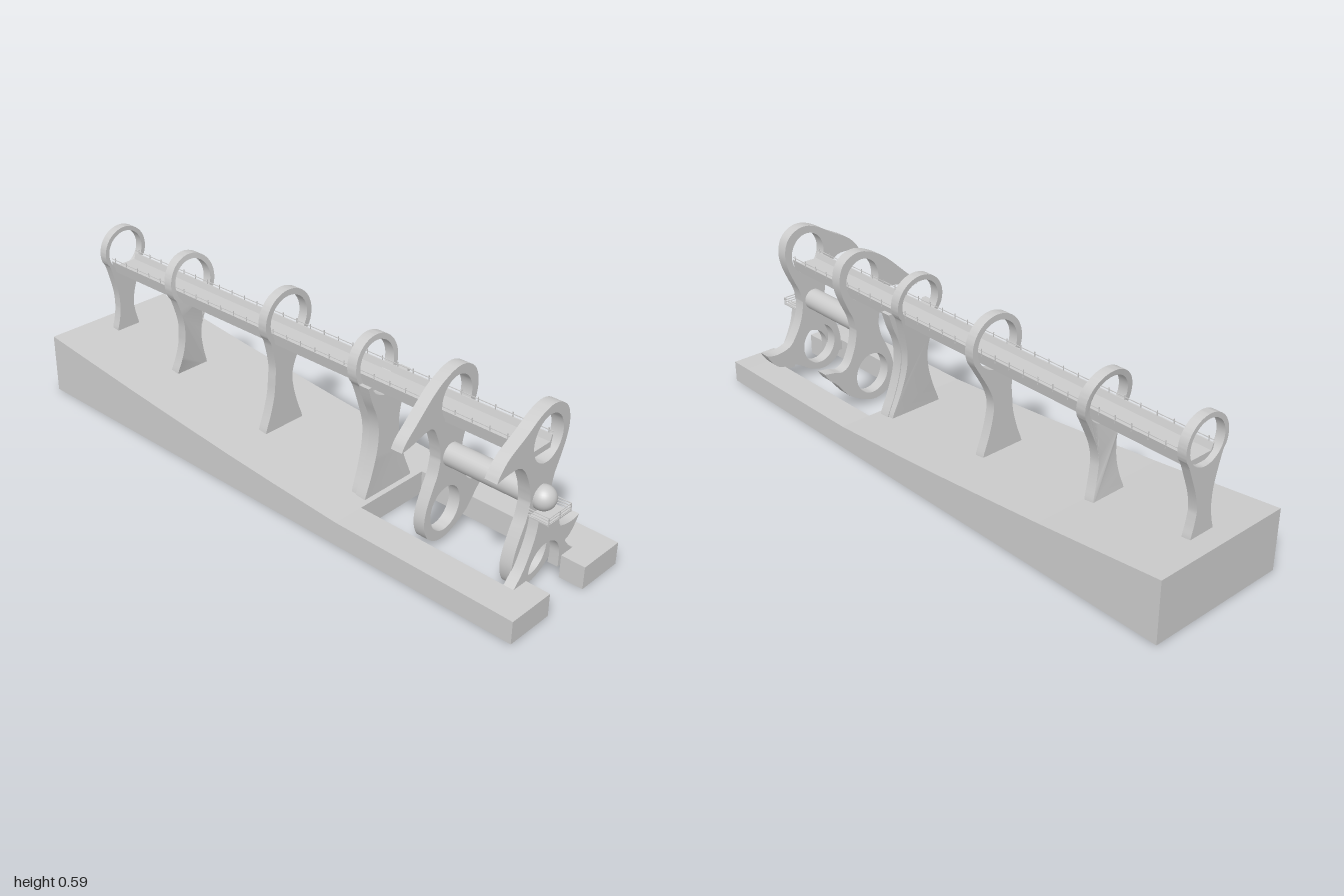
import * as THREE from 'three';
import { toCreasedNormals } from 'three/addons/utils/BufferGeometryUtils.js';

const grey = new THREE.MeshStandardMaterial({ color: 0xcccccc });
const greyDouble = new THREE.MeshStandardMaterial({ color: 0xcccccc, side: THREE.DoubleSide });

const V = (x, y) => new THREE.Vector2(x, y);
const smooth = (pts, n) => new THREE.SplineCurve(pts.map(p => V(p[0], p[1]))).getPoints(n);

function add(parent, name, geometry, material = grey) {
  const mesh = new THREE.Mesh(geometry, material);
  mesh.name = name;
  parent.add(mesh);
  return mesh;
}

function box(parent, name, x0, x1, y0, y1, z0, z1) {
  const m = add(parent, name, new THREE.BoxGeometry(x1 - x0, y1 - y0, z1 - z0));
  m.position.set((x0 + x1) / 2, (y0 + y1) / 2, (z0 + z1) / 2);
}

// Extrude a front outline between z0 and z1, optionally bending it in z by height
function slab(points, holes, z0, z1, bend) {
  const shape = new THREE.Shape(points);
  for (const [x, y, rx, ry] of holes) {
    shape.holes.push(new THREE.Path().absellipse(x, y, rx, ry, 0, Math.PI * 2, true));
  }
  const g = new THREE.ExtrudeGeometry(shape, { depth: z1 - z0, bevelEnabled: false, curveSegments: 20 });
  g.translate(0, 0, z0);
  if (bend) {
    const p = g.attributes.position;
    for (let i = 0; i < p.count; i++) p.setZ(i, p.getZ(i) + bend(p.getY(i)));
  }
  return toCreasedNormals(g, 0.6);
}

// Ground height along z
const profile = [[-1, 0.209], [-0.8, 0.186], [-0.55, 0.158], [-0.3, 0.133], [-0.1, 0.114], [0.1, 0.098],
  [0.36, 0.08], [0.92, 0.076], [1, 0.075]];
function groundAt(z) {
  for (let i = 1; i < profile.length; i++) {
    const [a, ha] = profile[i - 1], [b, hb] = profile[i];
    if (z <= b) return ha + (hb - ha) * (z - a) / (b - a);
  }
  return 0.075;
}

// Hollow ramp with an open underside and a slot that narrows at the front
function rampGeometry() {
  const pos = [];
  const quad = (a, b, c, d) => [a, b, c, a, c, d].forEach(p => pos.push(...p));
  const wall = (x0, z0, x1, z1) => quad([x0, 0, z0], [x1, 0, z1],
    [x1, groundAt(z1), z1], [x0, groundAt(z0), z0]);
  for (let i = 1; i < profile.length; i++) {
    const [z0, h0] = profile[i - 1], [z1, h1] = profile[i];
    const inner = z0 < 0.36 ? 0 : z0 < 0.92 ? 0.14 : 0.083;
    for (const s of [-1, 1]) {
      const [l, r] = s < 0 ? [-0.25, -inner] : [inner, 0.25];
      quad([l, h0, z0], [l, h1, z1], [r, h1, z1], [r, h0, z0]);
      if (s > 0) wall(0.25, z1, 0.25, z0);
      else wall(-0.25, z0, -0.25, z1);
      if (inner) {
        if (s > 0) wall(inner, z0, inner, z1);
        else wall(-inner, z1, -inner, z0);
      }
    }
  }
  wall(0.25, -1, -0.25, -1);
  wall(-0.14, 0.36, 0.14, 0.36);
  wall(-0.25, 1, -0.083, 1);
  wall(0.083, 1, 0.25, 1);
  wall(-0.083, 0.92, -0.14, 0.92);
  wall(0.14, 0.92, 0.083, 0.92);
  const g = new THREE.BufferGeometry();
  g.setAttribute('position', new THREE.Float32BufferAttribute(pos, 3));
  g.computeVertexNormals();
  return g;
}

// Half of the hooked frame: neck, round eye and pointed hook
function hookHalf([tx, ty]) {
  const back = smooth([[0.047, 0.298], [0.057, 0.345], [0.078, 0.39], [0.1, 0.445], [0.107, 0.495], [0.093, 0.543],
    [0.058, 0.571], [0.015, 0.578], [-0.035, 0.562], [-0.09, 0.528], [tx + 0.05, ty + 0.058],
    [tx + 0.015, ty + 0.025], [tx, ty]], 48);
  const belly = smooth([[tx, ty], [tx + 0.04, ty + 0.007], [-0.115, (ty + 0.445) / 2], [-0.085, 0.415], [-0.062, 0.37],
    [-0.051, 0.33], [-0.047, 0.298]], 24);
  return [...back, ...belly.slice(1, -1)];
}

// Full hooked frame: the half shape and its half-turn copy
function hookedFrame(topTip, lowTip, z0, z1) {
  const mid = 0.298;
  const low = hookHalf([-lowTip[0], 2 * mid - lowTip[1]]).map(p => V(-p.x, 2 * mid - p.y));
  return slab([...hookHalf(topTip), ...low],
    [[0.013, 0.477, 0.067, 0.074], [-0.013, 2 * mid - 0.477, 0.067, 0.074]], z0, z1);
}

// One side of a flared leg, from foot to just under the ring
function legSide(s, f) {
  const n = f.neck, h = 0.29 - f.foot;
  return [[s * f.w, f.foot - 0.04], [s * f.w, f.foot], [s * (n + (f.w - n) * 0.5), f.foot + h * 0.35],
    [s * (n + (f.w - n) * 0.12), f.foot + h * 0.7], [s * n, 0.29], [f.cx * 0.4 + s * (n + 0.008), 0.345]];
}

// Ring standing on a flared leg
function ringFrame(f) {
  const arc = [];
  for (let i = 0; i <= 16; i++) {
    const a = (-38 + i * 256 / 16) * Math.PI / 180;
    arc.push([f.cx + f.r * Math.cos(a), f.cy + f.r * Math.sin(a)]);
  }
  const pts = smooth([...legSide(1, f), ...arc, ...legSide(-1, f).reverse()], 110);
  return slab(pts, [[f.cx, f.cy, f.hole, f.hole]], f.z - f.d / 2, f.z + f.d / 2, f.bend);
}

export function createModel() {
  const model = new THREE.Group();
  model.name = 'rampBridge';
  add(model, 'ramp', rampGeometry(), greyDouble);

  // Two hooked frames over the slot
  add(model, 'frontHookedFrame', hookedFrame([-0.208, 0.433], [0.21, 0.14], 0.845, 0.886));
  add(model, 'rearHookedFrame', hookedFrame([-0.22, 0.396], [0.185, 0.18], 0.535, 0.575));

  // Ring frames up the ramp
  const rings = [
    { z: 0.285, d: 0.035, w: 0.1, neck: 0.042, cx: -0.004, cy: 0.488, r: 0.092, hole: 0.074,
      bend: y => 0.018 - 0.075 * Math.max(0, y - 0.08) },
    { z: -0.122, d: 0.034, w: 0.082, neck: 0.038, cx: 0.025, cy: 0.488, r: 0.1, hole: 0.08 },
    { z: -0.552, d: 0.034, w: 0.065, neck: 0.036, cx: 0.015, cy: 0.48, r: 0.094, hole: 0.076,
      bend: y => -0.004 - 0.4 * (y - 0.34) ** 2 },
    { z: -0.91, d: 0.03, w: 0.047, neck: 0.03, cx: 0.01, cy: 0.49, r: 0.086, hole: 0.071 },
  ];
  for (const f of rings) {
    f.foot = groundAt(f.z);
    add(model, 'ringFrame', ringFrame(f));
  }

  // Second slab in front of the first ring frame, ending in an open cradle
  const f = { w: 0.105, neck: 0.045, cx: 0, foot: 0.08 };
  const cradle = [...legSide(1, f), [0.075, 0.4], [0.092, 0.453]];
  const outer = smooth(cradle, 30);
  const inner = smooth([[0.078, 0.453], [0.055, 0.422], [0, 0.405], [-0.055, 0.422], [-0.078, 0.453]], 16);
  add(model, 'cradleLeg', slab([...outer, ...inner, ...outer.map(p => V(-p.x, p.y)).reverse()], [],
    0.305, 0.343, y => -0.02 * Math.max(0, y - 0.08)));

  // Arched pylon at the front
  const side = smooth([[0.14, 0.07], [0.1, 0.115], [0.068, 0.175], [0.052, 0.22], [0.046, 0.257]], 20);
  const arch = [];
  for (let i = 0; i <= 20; i++) {
    const a = Math.PI * (1 - i / 20);
    arch.push(V(0.074 * Math.cos(a), 0.086 + 0.074 * Math.sin(a)));
  }
  add(model, 'archedPylon', slab([V(0.14, 0.04), ...side, ...side.map(p => V(-p.x, p.y)).reverse(),
    V(-0.14, 0.04), V(-0.074, 0.04), ...arch, V(0.074, 0.04)], [], 0.884, 0.918));

  // Barrel with a domed nose
  const barrel = add(model, 'barrel', new THREE.CylinderGeometry(0.037, 0.037, 0.35, 28));
  barrel.rotation.x = Math.PI / 2;
  barrel.position.set(0, 0.3, 0.725);
  add(model, 'barrelNose', new THREE.SphereGeometry(0.038, 28, 18)).position.set(0, 0.3, 0.896);

  // Balcony below the nose
  const balcony = new THREE.Group();
  balcony.name = 'balcony';
  model.add(balcony);
  box(balcony, 'balconyFloor', -0.05, 0.05, 0.255, 0.259, 0.885, 0.952);
  for (const y of [0.264, 0.273, 0.282]) {
    box(balcony, 'balconyFrontRail', -0.053, 0.053, y, y + 0.002, 0.951, 0.954);
    for (const x of [-0.053, 0.05]) box(balcony, 'balconySideRail', x, x + 0.003, y, y + 0.002, 0.885, 0.954);
  }
  for (const x of [-0.053, -0.0015, 0.05]) {
    box(balcony, 'balconyPost', x, x + 0.003, 0.256, 0.284, 0.951, 0.954);
  }

  // Walkway with sloping curbs, posts and rails
  const walkway = new THREE.Group();
  walkway.name = 'walkway';
  model.add(walkway);
  const section = [[-0.037, 0.421], [0.056, 0.421], [0.064, 0.46], [0.06, 0.46], [0.053, 0.44], [-0.034, 0.44],
    [-0.041, 0.46], [-0.045, 0.46]].map(p => V(p[0], p[1]));
  add(walkway, 'deck', slab(section, [], -0.905, 0.865));
  for (const x of [-0.043, 0.061]) {
    for (let i = 0; i < 30; i++) {
      const z = -0.89 + i * 0.06;
      if (z < 0.86) box(walkway, 'railPost', x, x + 0.002, 0.45, 0.476, z, z + 0.003);
    }
    box(walkway, 'handrail', x, x + 0.002, 0.468, 0.47, -0.905, 0.865);
  }
  return model;
}
